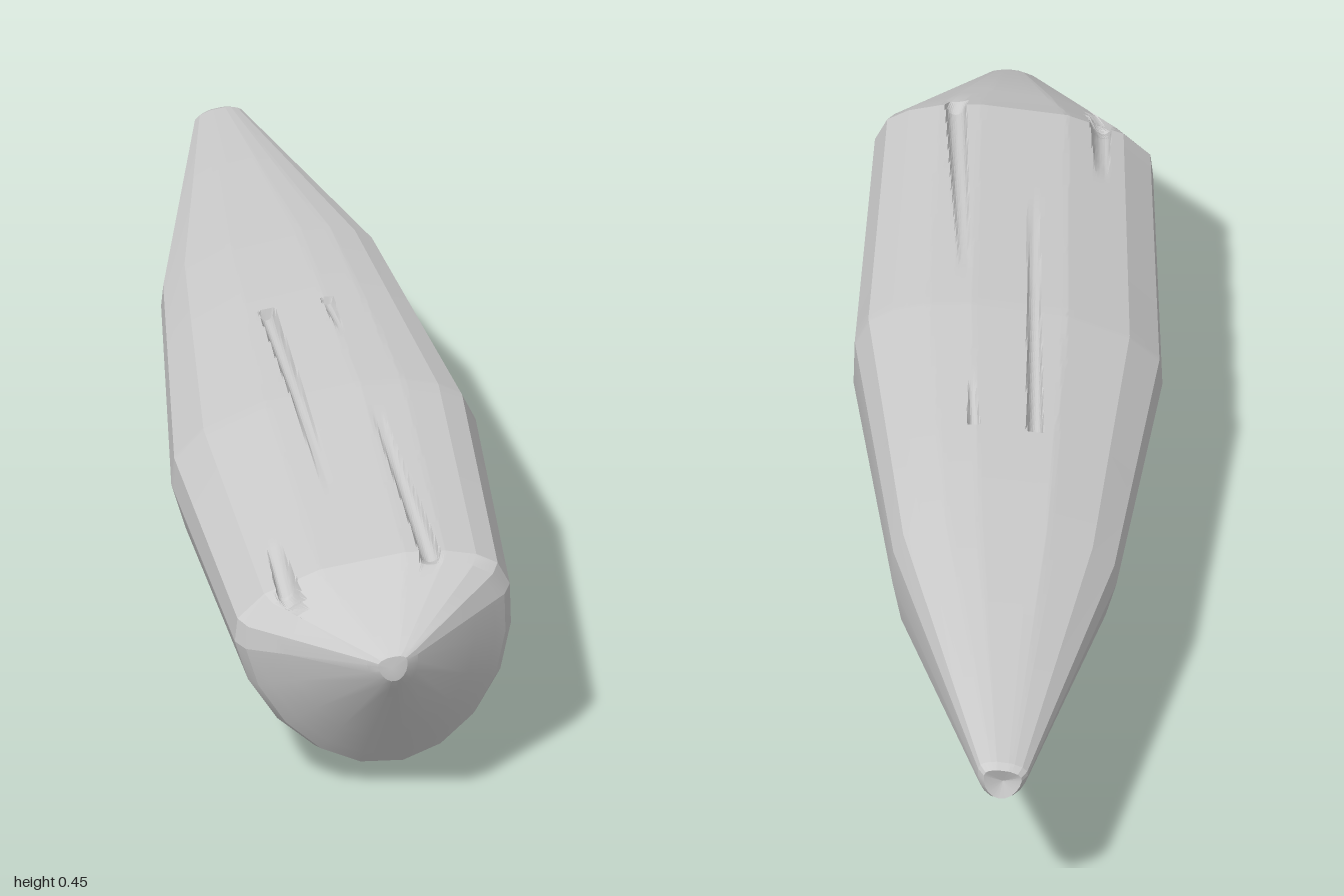
import * as THREE from 'three';
import { toCreasedNormals } from 'three/addons/utils/BufferGeometryUtils.js';

// Widest cross-section, counter-clockwise seen from the front
const SECTION = [
  [0.055, 0], [0.13, 0.032], [0.195, 0.095], [0.24, 0.18], [0.26, 0.28], [0.258, 0.365],
  [0.235, 0.413], [0.195, 0.435], [0.135, 0.448], [0.06, 0.45], [-0.1, 0.425], [-0.205, 0.38],
  [-0.255, 0.33], [-0.26, 0.28], [-0.235, 0.195], [-0.18, 0.105], [-0.11, 0.04], [-0.03, 0.003],
];

// Stations along the body: z, xMin, xMax, yMin, yMax
const STATIONS = [
  [1, -0.005, -0.005, 0.325, 0.325],
  [0.998, -0.028, 0.022, 0.3, 0.347],
  [0.985, -0.045, 0.042, 0.28, 0.356],
  [0.81, -0.225, 0.217, 0.05, 0.422],
  [0.785, -0.24, 0.23, 0.042, 0.431],
  [0.2, -0.26, 0.26, 0, 0.45],
  [-0.4, -0.187, 0.19, 0.092, 0.433],
  [-0.985, -0.042, 0.042, 0.287, 0.363],
  [-1, -0.032, 0.032, 0.297, 0.356],
  [-0.99, 0, 0, 0.327, 0.327],
];

// Grooves run from a shallow tip to a deep end, which closes over the length fade
const GROOVES = [
  { tip: [-0.04, 0.55, 0.009], end: [-0.048, -0.13, 0.013], depth: 0.02, fade: 0.004 },
  { tip: [0.06, 0.0, 0.005], end: [0.055, -0.13, 0.01], depth: 0.014, fade: 0.004 },
  { tip: [0.073, 0.28, 0.008], end: [0.092, 0.785, 0.017], depth: 0.021, fade: 0.03 },
  { tip: [-0.155, 0.64, 0.01], end: [-0.152, 0.8, 0.018], depth: 0.028, fade: 0.055 },
];

const lerp = THREE.MathUtils.lerp;

function grooveDepth(x, z) {
  let deepest = 0;
  for (const { tip, end, depth, fade } of GROOVES) {
    const length = Math.abs(end[1] - tip[1]);
    const along = (z - tip[1]) * Math.sign(end[1] - tip[1]);
    if (along <= 0 || along >= length + fade) continue;
    const t = Math.min(along / length, 1);
    const across = (x - lerp(tip[0], end[0], t)) / lerp(tip[2], end[2], t);
    if (Math.abs(across) >= 1) continue;
    const closing = along > length ? 1 - (along - length) / fade : 1;
    deepest = Math.max(deepest, depth * t * closing * Math.sqrt(1 - across * across));
  }
  return deepest;
}

// Section outline, finely divided across the grooved top
function outline() {
  const points = [];
  SECTION.forEach(([x, y], i) => {
    const [nx, ny] = SECTION[(i + 1) % SECTION.length];
    const top = i >= 7 && i <= 10;
    const steps = top ? Math.ceil(Math.hypot(nx - x, ny - y) / 0.0035) : 1;
    for (let s = 0; s < steps; s++) {
      points.push({ x: lerp(x, nx, s / steps), y: lerp(y, ny, s / steps), top });
    }
  });
  return points;
}

// Stations plus extra rows through the grooved length
function bodyRows() {
  const rows = [];
  for (let i = 0; i < STATIONS.length - 1; i++) {
    const a = STATIONS[i], b = STATIONS[i + 1];
    rows.push(a);
    const cuts = [-0.13, -0.1345];
    for (let k = 0; k < 50; k++) cuts.push(0.87 - k * 0.02);
    cuts.filter((z) => z < a[0] - 0.003 && z > b[0] + 0.003)
      .sort((p, q) => q - p)
      .forEach((z) => rows.push(a.map((v, n) => lerp(v, b[n], (z - a[0]) / (b[0] - a[0])))));
  }
  rows.push(STATIONS[STATIONS.length - 1]);
  return rows;
}

function bodyGeometry() {
  const ring = outline(), rows = bodyRows(), n = ring.length;
  const positions = [], index = [];
  rows.forEach(([z, x0, x1, y0, y1], r) => {
    for (const p of ring) {
      const x = lerp(x0, x1, (p.x + 0.26) / 0.52);
      const y = lerp(y0, y1, p.y / 0.45);
      positions.push(x, p.top ? y - grooveDepth(x, z) : y, z);
    }
    if (r === rows.length - 1) return;
    for (let j = 0; j < n; j++) {
      const a = r * n + j, b = r * n + (j + 1) % n;
      if (r > 0) index.push(a, a + n, b);
      else index.push(a, a + n, b + n);
      if (r > 0 && r < rows.length - 2) index.push(b, a + n, b + n);
    }
  });
  const geometry = new THREE.BufferGeometry();
  geometry.setAttribute('position', new THREE.Float32BufferAttribute(positions, 3));
  geometry.setIndex(index);
  return toCreasedNormals(geometry, 0.27);
}

export function createModel() {
  const group = new THREE.Group();
  group.name = 'groovedSpindle';
  const body = new THREE.Mesh(bodyGeometry(), new THREE.MeshStandardMaterial({ color: 0xcccccc }));
  body.name = 'groovedBody';
  group.add(body);
  return group;
}
